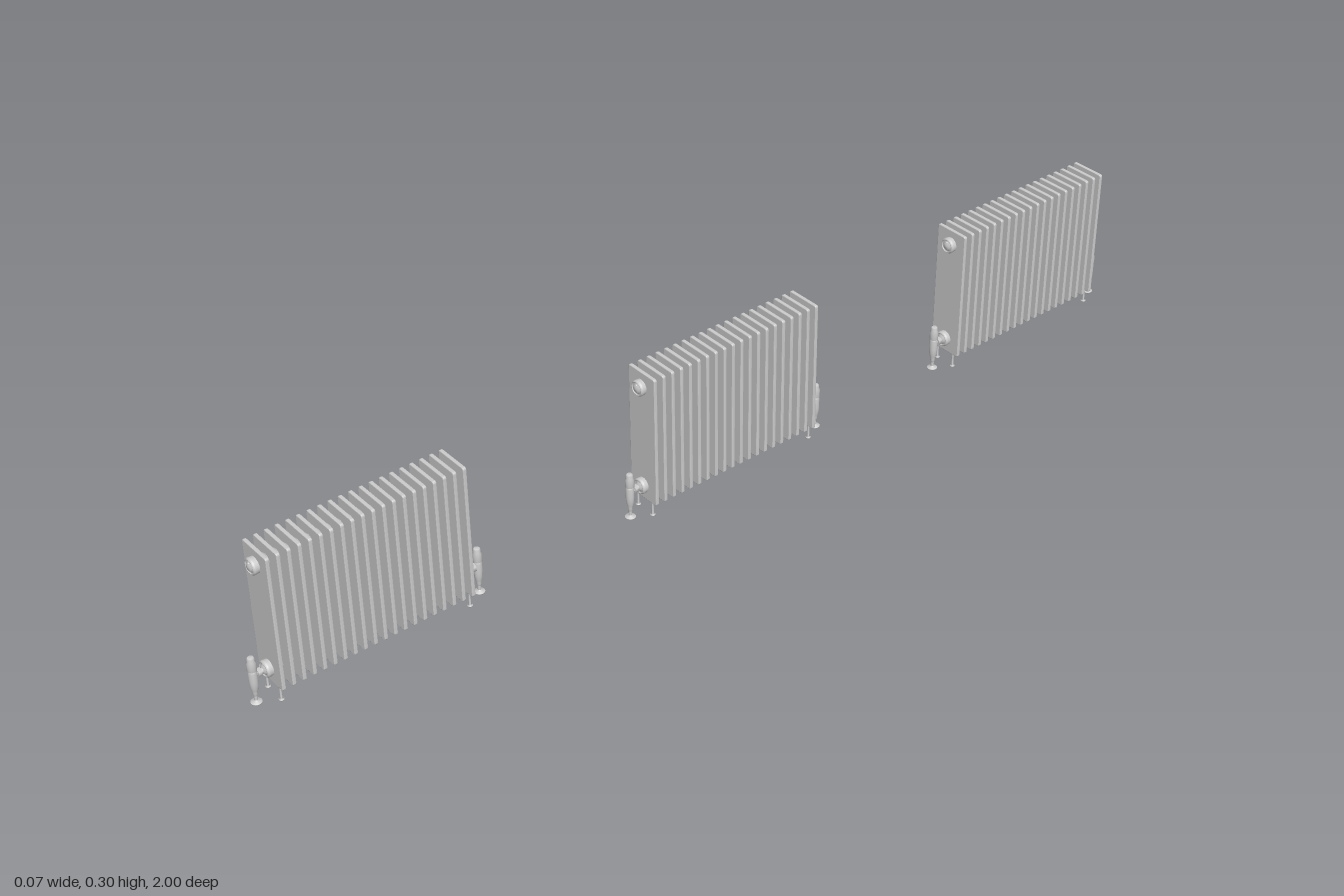
import * as THREE from 'three';

const grey = new THREE.MeshStandardMaterial({ color: 0xcccccc });
const FINS = 20, PITCH = 0.0198, THICK = 0.007;
const TOP = 0.27, LOW = 0.058;

const lathe = (pts, seg = 20) =>
  new THREE.LatheGeometry(pts.map(([r, y]) => new THREE.Vector2(r, y)), seg);
const alongZ = (pts, seg) => lathe(pts, seg).rotateX(Math.PI / 2);

function add(parent, name, geometry, x = 0, y = 0, z = 0) {
  const m = new THREE.Mesh(geometry, grey);
  m.name = name;
  m.position.set(x, y, z);
  parent.add(m);
  return m;
}

// Flat upright section with rounded corners and softened edges
function finGeometry() {
  const b = 0.0015, w = 0.036 - b, y0 = 0.028 + b, y1 = 0.3 - b, r = 0.003;
  const s = new THREE.Shape();
  s.moveTo(-w + r, y0);
  s.lineTo(w - r, y0);
  s.quadraticCurveTo(w, y0, w, y0 + r);
  s.lineTo(w, y1 - r);
  s.quadraticCurveTo(w, y1, w - r, y1);
  s.lineTo(-w + r, y1);
  s.quadraticCurveTo(-w, y1, -w, y1 - r);
  s.lineTo(-w, y0 + r);
  s.quadraticCurveTo(-w, y0, -w + r, y0);
  const depth = THICK - 2 * b;
  return new THREE.ExtrudeGeometry(s, {
    depth, bevelEnabled: true, bevelThickness: b, bevelSize: b,
    bevelSegments: 2, curveSegments: 4,
  }).translate(0, 0, -depth / 2);
}

const fin = finGeometry();

// Swelling collar that joins two neighbouring sections
const h = PITCH / 2;
const collar = alongZ([[0.011, -h], [0.011, -0.005], [0.014, -0.004], [0.015, 0],
  [0.014, 0.004], [0.011, 0.005], [0.011, h]]);

// End plug with a raised rim and a domed centre, facing +z
const plug = alongZ([[0.015, 0], [0.0155, 0.006], [0.0155, 0.009], [0.0135, 0.0115],
  [0.0125, 0.0115], [0.0125, 0.0095], [0.009, 0.0095], [0.007, 0.013], [0, 0.014]], 24);
const vent = alongZ([[0.002, 0], [0.002, 0.005], [0, 0.005]], 10);

// Valve parts
const floorFlange = lathe([[0, 0], [0.01, 0], [0.01, 0.0015], [0.005, 0.003], [0.003, 0.005]]);
const pipe = new THREE.CylinderGeometry(0.003, 0.003, 0.04, 12);
const valveBody = lathe([[0.003, 0.014], [0.0045, 0.018], [0.0045, 0.023], [0.0055, 0.026],
  [0.0075, 0.036], [0.0078, 0.045], [0.0078, 0.064], [0.006, 0.067]]);
const valveHead = lathe([[0.006, 0.066], [0.0083, 0.068], [0.0083, 0.084], [0.0065, 0.087],
  [0.0065, 0.093], [0.005, 0.095], [0, 0.095]]);
const tail = new THREE.CylinderGeometry(0.005, 0.005, 0.03, 16).rotateX(Math.PI / 2);
const nut = new THREE.CylinderGeometry(0.0085, 0.0085, 0.007, 6).rotateX(Math.PI / 2);

// Foot: slim rod on a small pad
const foot = lathe([[0, 0], [0.005, 0], [0.005, 0.0015], [0.002, 0.003],
  [0.002, 0.026], [0.003, 0.028], [0.003, 0.034]], 12);

function valve() {
  const g = new THREE.Group();
  g.name = 'valve';
  add(g, 'floorFlange', floorFlange);
  add(g, 'supplyPipe', pipe, 0, 0.022, 0);
  add(g, 'valveBody', valveBody);
  add(g, 'valveHead', valveHead);
  add(g, 'valveTail', tail, 0, LOW, -0.013);
  add(g, 'unionNut', nut, 0, LOW, -0.011);
  return g;
}

// Everything fitted to one end of a radiator, built facing +z
function endFittings(face) {
  const g = new THREE.Group();
  g.name = 'endFittings';
  add(g, 'topPlug', plug, 0, TOP, face);
  add(g, 'airVent', vent, 0, TOP + 0.007, face + 0.008);
  add(g, 'lowerPlug', plug, 0, LOW, face);
  const v = valve();
  v.position.z = 0.223;
  g.add(v);
  for (const x of [-0.021, 0.021]) add(g, 'foot', foot, x, 0, face - THICK / 2);
  return g;
}

function radiator() {
  const g = new THREE.Group();
  g.name = 'radiator';
  const first = -(FINS - 1) / 2 * PITCH;
  for (let i = 0; i < FINS; i++) {
    const z = first + i * PITCH;
    add(g, 'fin', fin, 0, 0, z);
    if (i < FINS - 1) {
      for (const y of [TOP, LOW]) add(g, 'collar', collar, 0, y, z + h);
    }
  }
  const face = -first + THICK / 2;
  const front = endFittings(face);
  const back = endFittings(face);
  back.rotation.y = Math.PI;
  g.add(front, back);
  return g;
}

export function createModel() {
  const model = new THREE.Group();
  model.name = 'radiators';
  for (const z of [0.768, -0.011, -0.768]) {
    const r = radiator();
    r.position.z = z;
    model.add(r);
  }
  return model;
}
